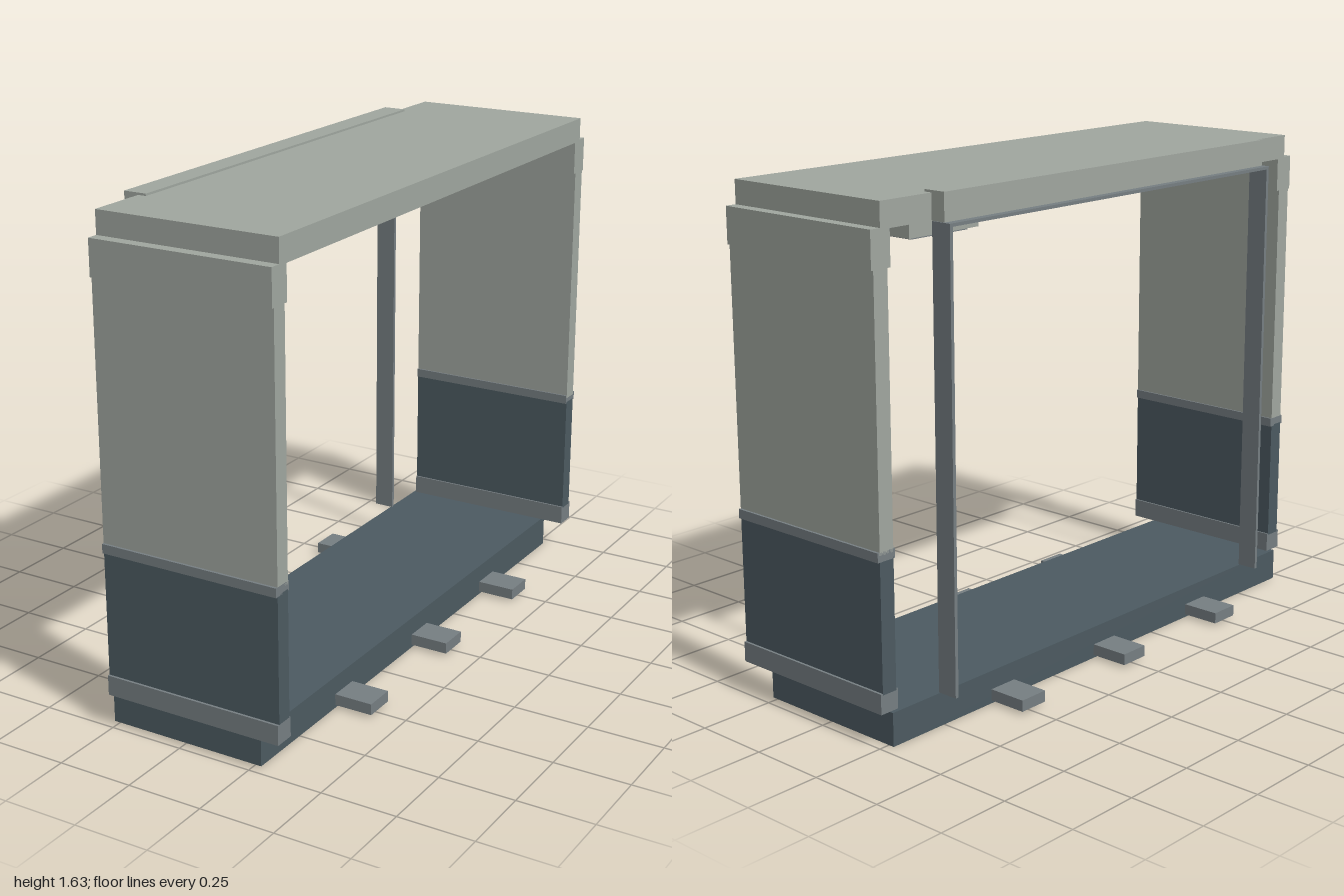
import * as THREE from 'three';

const material = (name, color) => {
  const m = new THREE.MeshStandardMaterial({ color });
  m.name = name;
  return m;
};

export function createModel() {
  const model = new THREE.Group();
  model.name = 'walkThroughFrame';
  const light = material('lightGrey', 0xa0a69f);
  const dark = material('darkSlate', 0x4c5a61);
  const grey = material('midGrey', 0x767e82);

  // Box given by its limits on each axis
  const box = (name, mat, [x0, x1], [y0, y1], [z0, z1], parent = model) => {
    const mesh = new THREE.Mesh(new THREE.BoxGeometry(x1 - x0, y1 - y0, z1 - z0), mat);
    mesh.position.set((x0 + x1) / 2, (y0 + y1) / 2, (z0 + z1) / 2);
    mesh.name = name;
    parent.add(mesh);
    return mesh;
  };
  const span = (a, b, side) => (side > 0 ? [a, b] : [-b, -a]);
  const wide = [-0.26, 0.355];

  // Floor and roof slabs
  box('floorSlab', dark, [-0.27, 0.27], [0, 0.108], [-0.963, 0.963]);
  box('roofSlab', light, wide, [1.54, 1.62], [-0.963, 0.963]);

  // End walls: panels, trims and corner caps, mirrored front to back
  for (const side of [1, -1]) {
    const wall = new THREE.Group();
    wall.name = side > 0 ? 'frontWall' : 'backWall';
    model.add(wall);
    box('lowerPanel', dark, wide, [0.17, 0.585], span(0.938, 0.992, side), wall);
    box('upperPanel', light, wide, [0.6, 1.5], span(0.938, 0.992, side), wall);
    box('bottomTrim', grey, wide, [0.11, 0.175], span(0.932, 1, side), wall);
    box('middleTrim', grey, wide, [0.58, 0.61], span(0.932, 1, side), wall);
    box('cornerCap', light, wide, [1.43, 1.545], span(0.926, 1, side), wall);
  }

  // Doorway frame on the right side
  for (const side of [1, -1])
    box('doorJamb', grey, [-0.335, -0.265], [0.108, 1.54], span(0.754, 0.766, side));
  box('doorHead', grey, [-0.335, -0.265], [1.53, 1.54], [-0.766, 0.766]);
  box('headCover', light, [-0.31, -0.232], [1.54, 1.627], [-0.762, 0.762]);

  // Mounting tabs along both floor edges
  for (const side of [1, -1])
    for (const z of [-0.49, 0, 0.49])
      box('mountingTab', grey, span(0.26, 0.4, side), [0.01, 0.047], [z - 0.052, z + 0.052]);

  // Overhead lamp on an arm from the back wall
  const lamp = new THREE.Group();
  lamp.name = 'overheadLamp';
  model.add(lamp);
  box('lampBody', light, [-0.09, 0.09], [1.457, 1.51], [-0.687, -0.393], lamp);
  box('lampPanel', grey, [-0.07, 0.07], [1.449, 1.457], [-0.66, -0.42], lamp);
  box('lampArm', grey, [-0.01, 0.01], [1.478, 1.494], [-0.93, -0.68], lamp);

  return model;
}
